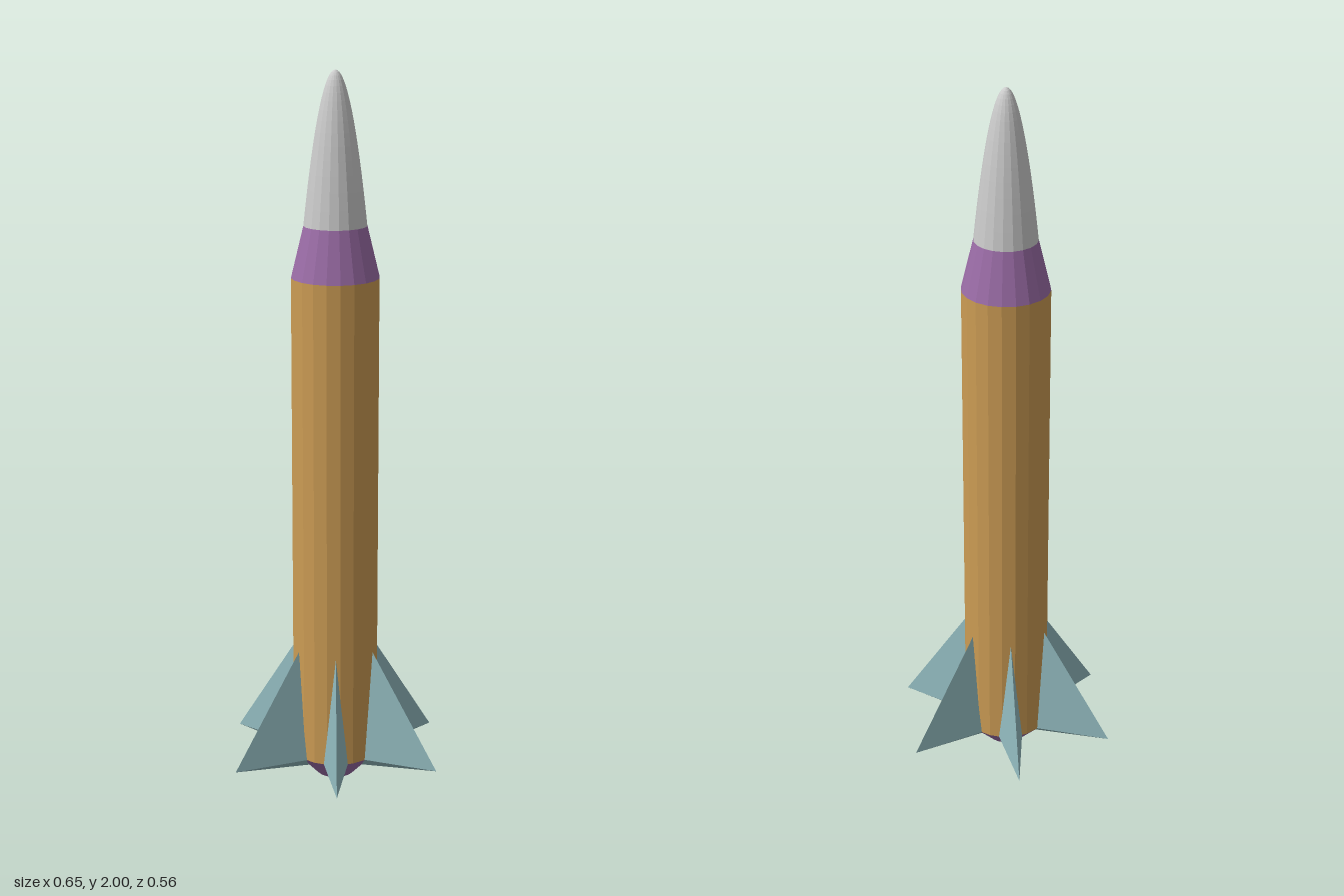
import * as THREE from 'three';

const SIDES = 20;

function material(color) {
  return new THREE.MeshStandardMaterial({ color, flatShading: true });
}

// Faceted solid of revolution from [radius, height] pairs, listed bottom to top
function turned(name, profile, mat) {
  const points = profile.map(([r, y]) => new THREE.Vector2(r, y));
  const mesh = new THREE.Mesh(new THREE.LatheGeometry(points, SIDES), mat);
  mesh.name = name;
  return mesh;
}

// Fin pointing along +x: a diamond root tapering to a single outer tip
function finGeometry() {
  const tip = [0.325, 0.07, 0];
  const root = [
    [0.119, 0.39, 0],       // top
    [0.114, 0.07, 0.034],   // front side
    [0.086, 0.035, 0],      // bottom
    [0.114, 0.07, -0.034],  // back side
  ];
  const positions = [];
  root.forEach((p, i) => positions.push(...p, ...root[(i + 1) % 4], ...tip));
  const geometry = new THREE.BufferGeometry();
  geometry.setAttribute('position', new THREE.Float32BufferAttribute(positions, 3));
  geometry.computeVertexNormals();
  return geometry;
}

export function createModel() {
  const rocket = new THREE.Group();
  rocket.name = 'rocket';

  const orange = material(0xcc9c54);
  const purple = material(0x9a6ca6);
  const grey = material(0xcccccc);
  const teal = material(0x90b8bc);
  teal.side = THREE.DoubleSide;

  // Tail cone with closed bottom, body tube and shoulder
  rocket.add(turned('nozzle', [[0, 0], [0.053, 0], [0.12, 0.07]], purple));
  rocket.add(turned('body', [[0.12, 0.07], [0.12, 1.45]], orange));
  rocket.add(turned('shoulder', [[0.12, 1.45], [0.086, 1.59]], purple));

  // Parabolic nose
  const nose = [];
  for (let i = 0; i <= 16; i++) {
    const t = 1 - i / 16;
    nose.push([0.086 * t, 2 - 0.41 * t * t]);
  }
  rocket.add(turned('noseCone', nose, grey));

  // Six fins around the tail
  const fins = new THREE.Group();
  fins.name = 'fins';
  const geometry = finGeometry();
  for (let i = 0; i < 6; i++) {
    const fin = new THREE.Mesh(geometry, teal);
    fin.name = `fin${i + 1}`;
    fin.rotation.y = (i * Math.PI) / 3;
    fins.add(fin);
  }
  rocket.add(fins);

  return rocket;
}
